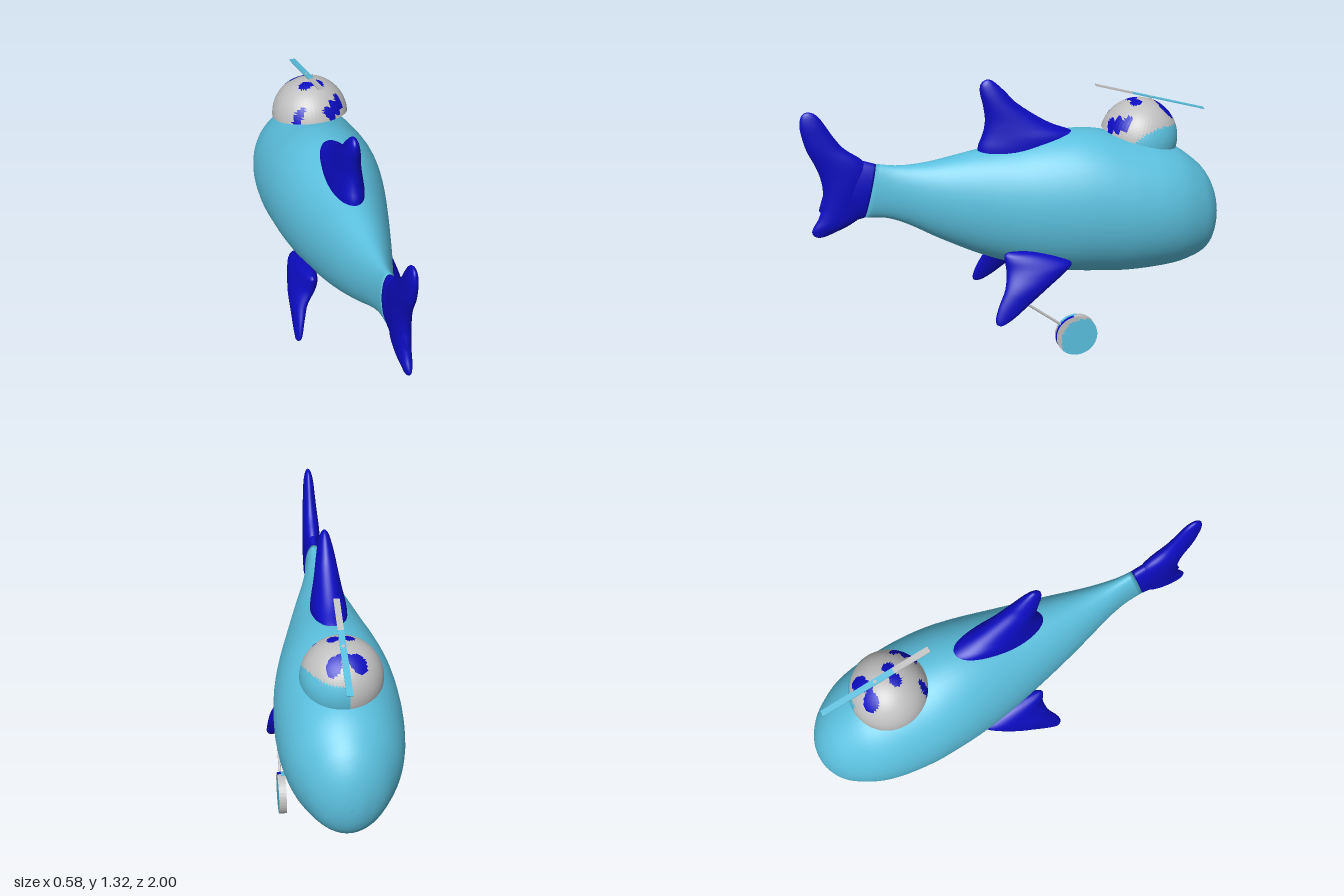
import * as THREE from 'three';

const mat = (name, color) => {
  const m = new THREE.MeshStandardMaterial({ color, side: THREE.DoubleSide });
  m.name = name;
  return m;
};

// Smooth elliptical loft. Rows: [t, low, high, halfWidth, xCentre].
// Along 'z' low/high are heights; along 'y' they are z positions.
function loft(rows, axis, steps, shear = () => 0, seg = 40) {
  const a = new THREE.CatmullRomCurve3(rows.map(r => new THREE.Vector3(r[0], r[1], r[2])), false, 'catmullrom');
  const b = new THREE.CatmullRomCurve3(rows.map(r => new THREE.Vector3(r[3], r[4] || 0, 0)), false, 'catmullrom');
  const pos = [], idx = [];
  const put = (x, v, t) => axis === 'z' ? pos.push(x, v, t) : pos.push(x, t, v);
  const n = (rows.length - 1) * steps;
  for (let i = 0; i <= n; i++) {
    const p = a.getPoint(i / n), q = b.getPoint(i / n);
    const mid = (p.y + p.z) / 2, h = Math.max(0, (p.z - p.y) / 2), w = Math.max(0, q.x);
    for (let j = 0; j < seg; j++) {
      const t = j / seg * Math.PI * 2;
      put(q.y + w * Math.cos(t), mid + h * Math.sin(t), p.x - shear(p.x) * Math.sin(t));
      if (i < n) {
        const k = i * seg + j, l = i * seg + (j + 1) % seg;
        idx.push(k, l, k + seg, l, l + seg, k + seg);
      }
    }
  }
  // End caps
  for (const i of [0, n]) {
    const p = a.getPoint(i / n), c = pos.length / 3;
    put(b.getPoint(i / n).y, (p.y + p.z) / 2, p.x);
    for (let j = 0; j < seg; j++) {
      const k = i * seg + j, l = i * seg + (j + 1) % seg;
      idx.push(...(i ? [k, l, c] : [l, k, c]));
    }
  }
  // The y axis mapping mirrors the winding
  if (axis === 'y') for (let i = 0; i < idx.length; i += 3) [idx[i], idx[i + 1]] = [idx[i + 1], idx[i]];
  const g = new THREE.BufferGeometry();
  g.setAttribute('position', new THREE.Float32BufferAttribute(pos, 3));
  g.setIndex(idx);
  g.computeVertexNormals();
  return g;
}

// Assign a material number to every triangle from its centre.
function paint(geometry, rule) {
  const g = geometry.index ? geometry.toNonIndexed() : geometry;
  g.computeVertexNormals();
  g.clearGroups();
  const p = g.attributes.position, c = new THREE.Vector3(), v = new THREE.Vector3();
  for (let i = 0; i < p.count; i += 3) {
    c.set(0, 0, 0);
    for (let k = 0; k < 3; k++) c.add(v.fromBufferAttribute(p, i + k));
    const m = rule(c.divideScalar(3)), last = g.groups[g.groups.length - 1];
    if (last && last.materialIndex === m) last.count += 3;
    else g.addGroup(i, 3, m);
  }
  return g;
}

const inEllipse = (x, y, cx, cy, rx, ry) => ((x - cx) / rx) ** 2 + ((y - cy) / ry) ** 2 < 1;

export function createModel() {
  const root = new THREE.Group();
  const blue = mat('lightBlue', 0x5bc0de), navy = mat('deepBlue', 0x0c0cc0), grey = mat('grey', 0xc0c0c0);
  const all = [grey, blue, navy];
  const add = (name, geometry, material, parent = root) => {
    const m = new THREE.Mesh(geometry, material);
    m.name = name;
    parent.add(m);
    return m;
  };

  // Body, nose at -z
  const shear = z => 0.03 * THREE.MathUtils.smoothstep(z, 0.5, 0.69);
  add('body', loft([
    [-1, 0.58, 0.58, 0], [-0.995, 0.52, 0.64, 0.045], [-0.98, 0.46, 0.705, 0.085], [-0.95, 0.41, 0.77, 0.135],
    [-0.9, 0.375, 0.835, 0.184], [-0.8, 0.345, 0.915, 0.242], [-0.7, 0.333, 0.958, 0.272],
    [-0.6, 0.328, 0.985, 0.285], [-0.5, 0.328, 1.01, 0.29], [-0.4, 0.335, 1.035, 0.286],
    [-0.3, 0.343, 1.045, 0.277], [-0.2, 0.355, 1.04, 0.261], [-0.1, 0.375, 1.025, 0.24],
    [0, 0.403, 1.005, 0.216], [0.1, 0.435, 0.99, 0.19], [0.2, 0.475, 0.975, 0.163],
    [0.3, 0.523, 0.957, 0.135], [0.4, 0.575, 0.94, 0.105], [0.5, 0.632, 0.932, 0.075],
    [0.6, 0.68, 0.935, 0.052], [0.69, 0.69, 0.948, 0.042]], 'z', 4, shear, 56), blue);

  // Tail: root continuing the body, and the upright crescent fin
  const tail = new THREE.Group();
  tail.name = 'tail';
  root.add(tail);
  add('tailRoot', loft([
    [0.69, 0.69, 0.948, 0.042], [0.74, 0.68, 0.965, 0.043], [0.8, 0.68, 0.98, 0.04],
    [0.86, 0.69, 0.97, 0.03], [0.9, 0.74, 0.92, 0.012]], 'z', 4, shear), navy, tail);
  add('tailFin', loft([
    [0.608, 0.925, 0.935, 0.004], [0.615, 0.895, 0.955, 0.014], [0.635, 0.845, 0.966, 0.021],
    [0.66, 0.79, 0.957, 0.03], [0.7, 0.735, 0.933, 0.037], [0.76, 0.72, 0.914, 0.041],
    [0.84, 0.7, 0.908, 0.044], [0.91, 0.69, 0.92, 0.043], [0.97, 0.72, 0.943, 0.04],
    [1.03, 0.8, 0.972, 0.035], [1.09, 0.848, 0.99, 0.03], [1.15, 0.885, 1, 0.025],
    [1.19, 0.912, 0.995, 0.018], [1.21, 0.935, 0.982, 0.01], [1.217, 0.955, 0.965, 0.003]], 'y', 4), navy, tail);

  // Dorsal fin
  add('dorsalFin', loft([
    [0.96, -0.29, 0.185, 0.084], [1, -0.29, 0.178, 0.083], [1.04, -0.275, 0.162, 0.079], [1.08, -0.18, 0.15, 0.069],
    [1.13, -0.095, 0.145, 0.058], [1.2, 0, 0.155, 0.045], [1.25, 0.045, 0.167, 0.034],
    [1.29, 0.085, 0.166, 0.022], [1.31, 0.11, 0.15, 0.011], [1.317, 0.128, 0.134, 0.003]], 'y', 4), navy);

  // Side fins, mirrored
  const finRows = s => [
    [0.2, 0.13, 0.14, 0.006, 0.28], [0.207, 0.105, 0.153, 0.014, 0.275], [0.235, 0.058, 0.155, 0.02, 0.269],
    [0.29, -0.012, 0.137, 0.028, 0.258], [0.36, -0.105, 0.104, 0.042, 0.239], [0.42, -0.195, 0.09, 0.058, 0.207],
    [0.455, -0.225, 0.09, 0.058, 0.194], [0.49, -0.16, 0.095, 0.045, 0.189], [0.515, -0.07, 0.095, 0.028, 0.186],
    [0.527, 0.01, 0.08, 0.008, 0.185]].map(r => [...r.slice(0, 4), s * r[4]]);
  for (const s of [1, -1]) add(s > 0 ? 'leftFin' : 'rightFin', loft(finRows(s), 'y', 4), navy);

  // Tilted cap with painted patches
  const cap = new THREE.Vector3(0, 0.992, -0.6), tilt = -0.272;
  const dome = new THREE.SphereGeometry(0.184, 64, 24, 0, Math.PI * 2, 0, Math.PI / 2);
  dome.rotateX(tilt).translate(cap.x, cap.y, cap.z);
  const patches = [[-0.058, -0.705, 0.042, 0.034], [0.045, -0.715, 0.034, 0.033], [0, -0.69, 0.04, 0.018],
    [-0.03, -0.568, 0.032, 0.026], [0.035, -0.573, 0.028, 0.028], [0, -0.57, 0.03, 0.015],
    [0.055, -0.447, 0.03, 0.014], [0.09, -0.473, 0.026, 0.019], [0.115, -0.505, 0.02, 0.026],
    [-0.09, -0.465, 0.035, 0.016]];
  add('capDome', paint(dome, c => {
    if (c.x > -0.02 && inEllipse(c.z, c.y, -0.68, 0.975, 0.155, 0.098)) return 1;
    return patches.some(p => inEllipse(c.x, c.z, ...p)) ? 2 : 0;
  }), all);

  // Propeller: stem and one long blade in two colours
  const propeller = new THREE.Group();
  propeller.name = 'propeller';
  propeller.position.copy(cap);
  propeller.rotation.x = tilt;
  root.add(propeller);
  add('propellerStem', new THREE.CylinderGeometry(0.008, 0.008, 0.03, 12).translate(0, 0.185, 0), grey, propeller);
  add('frontBlade', new THREE.BoxGeometry(0.028, 0.005, 0.37).translate(0, 0.197, -0.0915), blue, propeller);
  add('rearBlade', new THREE.BoxGeometry(0.028, 0.005, 0.185).translate(0, 0.197, 0.186), grey, propeller);

  // Wheel beside the left fin
  const r = 0.1, hw = 0.018, outline = [];
  for (let i = 0; i <= 8; i++) outline.push(new THREE.Vector2(r * i / 8, -hw));
  for (let i = 1; i <= 4; i++) outline.push(new THREE.Vector2(r, -hw + 2 * hw * i / 4));
  for (let i = 7; i >= 0; i--) outline.push(new THREE.Vector2(r * i / 8, hw));
  const wheel = new THREE.LatheGeometry(outline, 40).rotateZ(-Math.PI / 2).translate(0.246, 0.102, -0.24);
  add('wheel', paint(wheel, c => {
    if (Math.abs(c.x - 0.246) > hw - 0.001) return Math.hypot(c.z + 0.27, c.y - 0.08) > 0.106 ? 0 : 1;
    if (c.z < -0.24) return 0;
    if (c.x > 0.246 && c.y > 0.06 && c.y < 0.2) return 2;
    return c.x < 0.246 && c.y > 0.15 ? 1 : 0;
  }), all);

  // Rod from fin to wheel
  const from = new THREE.Vector3(0.246, 0.31, 0.035), to = new THREE.Vector3(0.246, 0.105, -0.24);
  add('wheelRod', new THREE.TubeGeometry(new THREE.LineCurve3(from, to), 1, 0.006, 10), grey);

  return root;
}
